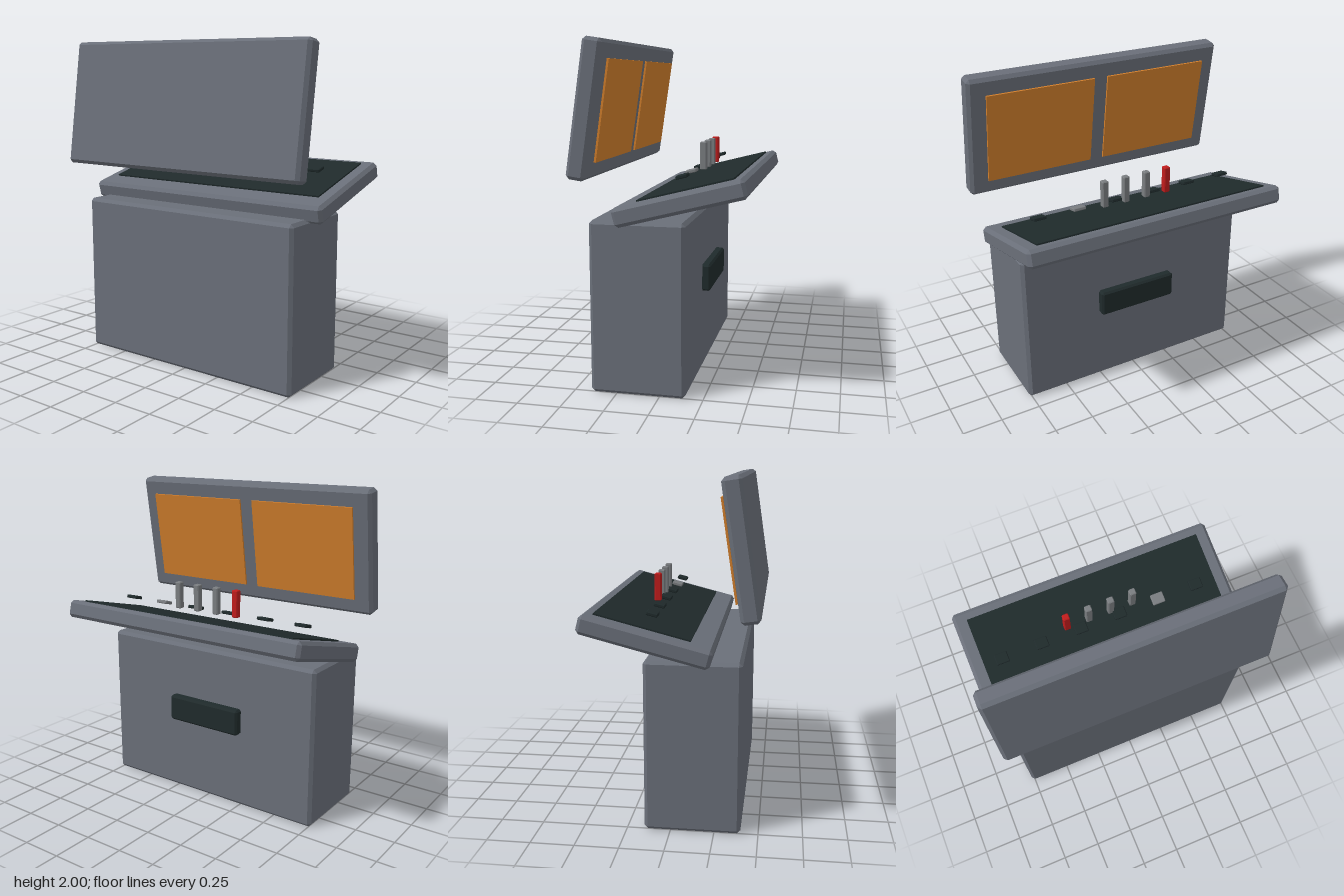
import * as THREE from 'three';
import { ConvexGeometry } from 'three/addons/geometries/ConvexGeometry.js';

function material(name, color) {
  const m = new THREE.MeshStandardMaterial({ color });
  m.name = name;
  return m;
}

// Box with every edge cut at 45 degrees
function chamferBox(w, h, d, b) {
  const points = [];
  for (const x of [-1, 1]) for (const y of [-1, 1]) for (const z of [-1, 1]) {
    const [X, Y, Z] = [x * w / 2, y * h / 2, z * d / 2];
    points.push(
      new THREE.Vector3(X, Y - y * b, Z - z * b),
      new THREE.Vector3(X - x * b, Y, Z - z * b),
      new THREE.Vector3(X - x * b, Y - y * b, Z));
  }
  return new ConvexGeometry(points);
}

function add(parent, name, mat, [w, h, d], [x, y, z], bevel = 0) {
  const geo = bevel ? chamferBox(w, h, d, bevel) : new THREE.BoxGeometry(w, h, d);
  const mesh = new THREE.Mesh(geo, mat);
  mesh.name = name;
  mesh.position.set(x, y, z);
  parent.add(mesh);
  return mesh;
}

function tiltedGroup(parent, name, y, z, angle) {
  const g = new THREE.Group();
  g.name = name;
  g.position.set(0, y, z);
  g.rotation.x = angle;
  parent.add(g);
  return g;
}

export function createModel() {
  const model = new THREE.Group();
  model.name = 'controlConsole';
  const casing = material('casing grey', 0x6a6f79);
  const dark = material('dark panel', 0x1f2a2b);
  const orange = material('orange screen', 0xd27f2c);
  const metal = material('lever grey', 0x7a7d80);
  const red = material('lever red', 0xc01c1c);

  // Pedestal with the recess block on its operator side
  add(model, 'pedestal', casing, [1.535, 1, 0.55], [0, 0.5, 0.125], 0.02);
  add(model, 'backHandle', dark, [0.52, 0.165, 0.08], [0, 0.573, -0.16], 0.012);

  // Sloping desk and its control panel
  const desk = tiltedGroup(model, 'desk', 1.12, -0.128, 0.25);
  add(desk, 'deskTop', casing, [1.706, 0.11, 0.75], [0, 0, 0], 0.02);
  add(desk, 'controlPanel', dark, [1.54, 0.02, 0.553], [0, 0.054, -0.037]);

  // Row of buttons hovering over the panel
  for (let i = 0; i < 6; i++) {
    const button = add(model, 'button', i === 4 ? metal : dark,
      [0.08, 0.02, 0.066], [-0.655 + i * 0.256, 1.243, -0.107], 0.004);
    button.rotation.x = 0.25;
  }

  // Upright levers, the first one red
  for (let i = 0; i < 4; i++) {
    add(model, 'lever', i === 0 ? red : metal,
      [0.04, 0.167, 0.04], [-0.218 + i * 0.143, 1.318, -0.147], 0.005);
  }

  // Leaning display with two screens facing the operator
  const display = tiltedGroup(model, 'display', 1.612, 0.387, -0.15);
  add(display, 'displayCase', casing, [1.706, 0.77, 0.11], [0, 0, 0], 0.02);
  for (const side of [-1, 1]) {
    add(display, 'screen', orange, [0.7, 0.57, 0.012], [side * 0.395, 0, -0.07]);
  }
  return model;
}
